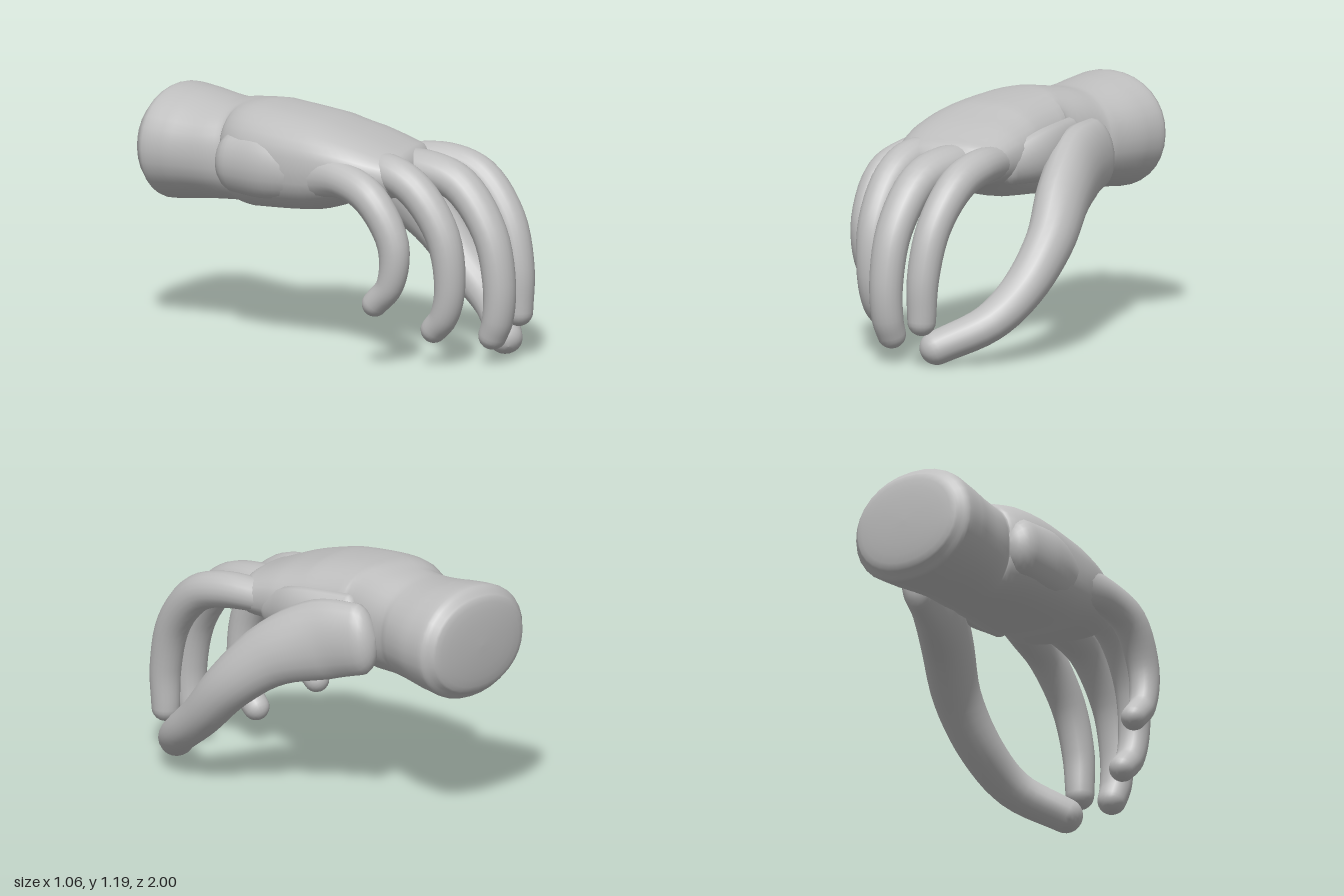
import * as THREE from 'three';

const skin = new THREE.MeshStandardMaterial({ color: 0xbebebe });
skin.name = 'plain grey';

// Sweeps a rounded section along stations [x, y, z, halfWidth, halfHeight, power = 2];
// power above 2 makes the section boxier, cap is the depth of the domed ends.
function limb(name, stations, { startCap = null, endCap = null, sides = 20, steps = 5 } = {}) {
  const path = new THREE.CatmullRomCurve3(stations.map(s => new THREE.Vector3(s[0], s[1], s[2])));
  const size = new THREE.CatmullRomCurve3(stations.map(s => new THREE.Vector3(s[3], s[4], s[5] ?? 2)));
  const rings = [];
  const addRing = (t, angle, dir, cap) => {
    const r = size.getPoint(t), tangent = path.getTangent(t);
    const depth = cap ?? Math.min(r.x, r.y);
    const centre = path.getPoint(t).addScaledVector(tangent, dir * depth * Math.sin(angle));
    const across = new THREE.Vector3(1, 0, 0).addScaledVector(tangent, -tangent.x).normalize();
    const up = new THREE.Vector3().crossVectors(tangent, across);
    const k = Math.cos(angle);
    rings.push({ centre, across, up, rx: r.x * k, ry: r.y * k, power: r.z });
  };
  const capSteps = 6, n = (stations.length - 1) * steps;
  for (let i = capSteps; i > 0; i--) addRing(0, i / capSteps * Math.PI / 2, -1, startCap);
  for (let i = 0; i <= n; i++) addRing(i / n, 0, 0, 0);
  for (let i = 1; i <= capSteps; i++) addRing(1, i / capSteps * Math.PI / 2, 1, endCap);

  const bend = (v, power) => Math.sign(v) * Math.abs(v) ** (2 / power);
  const positions = [], index = [];
  rings.forEach((ring, i) => {
    for (let j = 0; j < sides; j++) {
      const a = j / sides * Math.PI * 2;
      const p = ring.centre.clone()
        .addScaledVector(ring.across, ring.rx * bend(Math.cos(a), ring.power))
        .addScaledVector(ring.up, ring.ry * bend(Math.sin(a), ring.power));
      positions.push(p.x, p.y, p.z);
      if (i === rings.length - 1) continue;
      const q = i * sides + j, s = i * sides + (j + 1) % sides;
      index.push(q, s, s + sides, q, s + sides, q + sides);
    }
  });
  const geometry = new THREE.BufferGeometry();
  geometry.setAttribute('position', new THREE.Float32BufferAttribute(positions, 3));
  geometry.setIndex(index);
  geometry.computeVertexNormals();
  const mesh = new THREE.Mesh(geometry, skin);
  mesh.name = name;
  return mesh;
}

export function createModel() {
  const hand = new THREE.Group();
  hand.name = 'hand';

  // Wrist stump flowing into the flat palm
  hand.add(limb('palmAndWrist', [
    [-0.145, 0.92, -0.965, 0.305, 0.245, 2.1],
    [-0.145, 0.922, -0.91, 0.345, 0.285, 2.1],
    [-0.145, 0.922, -0.78, 0.335, 0.272, 2.1],
    [-0.15, 0.922, -0.6, 0.297, 0.25, 2.2],
    [-0.145, 0.93, -0.46, 0.27, 0.255, 2.4],
    [-0.18, 0.938, -0.3, 0.315, 0.258, 2.5],
    [-0.165, 0.935, 0, 0.335, 0.23, 2.5],
    [-0.13, 0.938, 0.2, 0.33, 0.172, 2.5],
    [-0.08, 0.92, 0.38, 0.29, 0.12, 2.5],
  ], { startCap: 0.035, endCap: 0.09, sides: 32 }));

  // Curled fingers, each from inside the palm to the tip
  hand.add(limb('indexFinger', [
    [0.1, 0.93, 0.22, 0.08, 0.08],
    [0.165, 0.935, 0.46, 0.093, 0.09],
    [0.188, 0.88, 0.645, 0.09, 0.092],
    [0.185, 0.69, 0.815, 0.085, 0.085],
    [0.175, 0.45, 0.885, 0.08, 0.078],
    [0.17, 0.235, 0.89, 0.07, 0.07],
  ]));
  hand.add(limb('middleFinger', [
    [-0.04, 0.92, 0.22, 0.09, 0.08],
    [-0.035, 0.932, 0.46, 0.115, 0.092],
    [-0.03, 0.875, 0.68, 0.1, 0.092],
    [-0.03, 0.66, 0.86, 0.092, 0.085],
    [-0.03, 0.41, 0.92, 0.085, 0.08],
    [-0.03, 0.23, 0.91, 0.08, 0.075],
    [-0.03, 0.15, 0.88, 0.072, 0.07],
  ]));
  hand.add(limb('ringFinger', [
    [-0.22, 0.92, 0.2, 0.085, 0.08],
    [-0.262, 0.945, 0.42, 0.098, 0.09],
    [-0.265, 0.87, 0.59, 0.092, 0.09],
    [-0.25, 0.66, 0.74, 0.085, 0.085],
    [-0.24, 0.41, 0.775, 0.078, 0.075],
    [-0.24, 0.26, 0.74, 0.072, 0.07],
    [-0.24, 0.19, 0.68, 0.066, 0.066],
  ]));
  // The little finger starts as the fleshy outer heel of the palm
  hand.add(limb('littleFinger', [
    [-0.415, 0.92, -0.39, 0.105, 0.15],
    [-0.42, 0.92, -0.22, 0.11, 0.16],
    [-0.4, 0.91, 0.04, 0.09, 0.12],
    [-0.425, 0.91, 0.27, 0.085, 0.09],
    [-0.447, 0.84, 0.45, 0.085, 0.087],
    [-0.44, 0.63, 0.58, 0.076, 0.08],
    [-0.445, 0.43, 0.565, 0.068, 0.068],
    [-0.455, 0.33, 0.48, 0.064, 0.064],
  ]));

  // Thumb reaching down to meet the index fingertip
  hand.add(limb('thumb', [
    [0.155, 0.89, -0.44, 0.095, 0.18],
    [0.21, 0.855, -0.24, 0.115, 0.2],
    [0.315, 0.755, -0.01, 0.12, 0.165],
    [0.405, 0.565, 0.2, 0.115, 0.128],
    [0.405, 0.36, 0.4, 0.11, 0.105],
    [0.355, 0.21, 0.6, 0.1, 0.092],
    [0.185, 0.095, 0.795, 0.088, 0.083],
  ]));

  // Flesh joining the thumb to the side of the palm
  hand.add(limb('thumbWeb', [
    [0.1, 0.97, -0.32, 0.06, 0.11],
    [0.165, 0.94, -0.05, 0.07, 0.13],
    [0.135, 0.9, 0.18, 0.06, 0.09],
  ], { sides: 16 }));

  // Settle the model on the ground and centre it
  const box = new THREE.Box3().setFromObject(hand);
  const centre = box.getCenter(new THREE.Vector3());
  hand.position.set(-centre.x, -box.min.y, -centre.z);
  const model = new THREE.Group();
  model.name = 'model';
  model.add(hand);
  return model;
}
